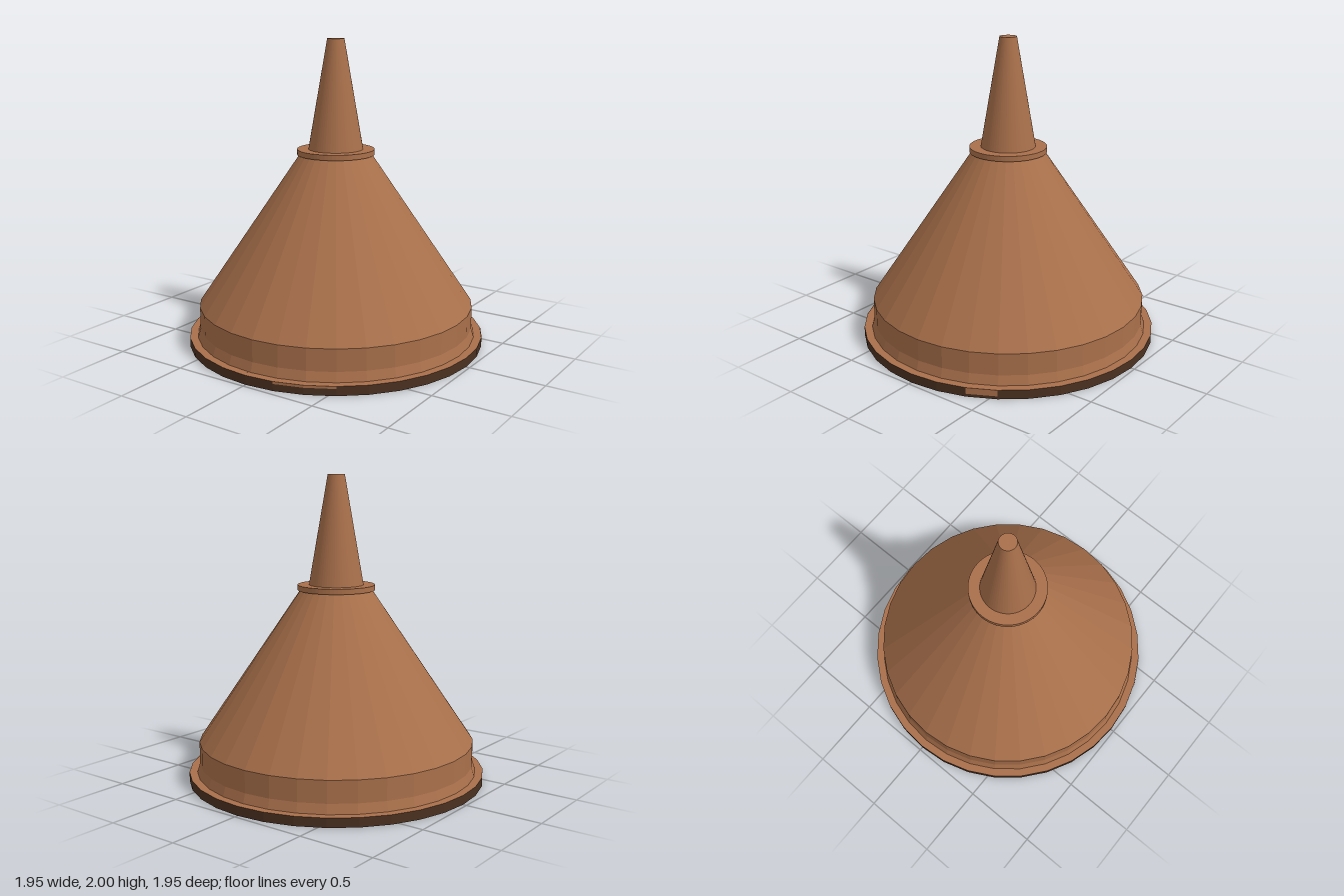
import * as THREE from 'three';

const BODY_SIDES = 32;
const SPOUT_SIDES = 64;

export function createModel() {
  const copper = new THREE.MeshStandardMaterial({ color: 0xa9704b, side: THREE.DoubleSide, flatShading: true });
  copper.name = 'copper';
  const tarnish = new THREE.MeshStandardMaterial({ color: 0x4a3020, side: THREE.DoubleSide, flatShading: true });
  tarnish.name = 'dark tarnish';

  const funnel = new THREE.Group();
  funnel.name = 'funnel';

  // Revolves a profile of [radius, height] points, listed so that faces point outward
  function turn(name, profile, sides, material, start = 0, length = Math.PI * 2) {
    const points = profile.map(([r, y]) => new THREE.Vector2(r, y));
    const mesh = new THREE.Mesh(new THREE.LatheGeometry(points, sides, start, length), material);
    mesh.name = name;
    funnel.add(mesh);
  }

  // Bowl: flared foot, straight band and cone, with an inner wall
  turn('bowl', [[0.925, 0.06], [0.907, 0.12], [0.907, 0.262], [0.235, 1.255]], BODY_SIDES, copper);
  turn('bowlInside', [[0.2, 1.255], [0.855, 0.295], [0.87, 0.12], [0.92, 0.06]], BODY_SIDES, copper);

  // Rim: dark underside and outer edge, bright top and inner lip
  turn('rimEdge', [[0.935, 0], [0.977, 0], [0.977, 0.06]], BODY_SIDES, tarnish);
  turn('rimTop', [[0.977, 0.06], [0.92, 0.06]], BODY_SIDES, copper);
  turn('rimLip', [[0.935, 0.06], [0.935, 0]], BODY_SIDES, copper);

  // Worn patches on the rim edge: first facet, facet count, lowest height
  const facet = (Math.PI * 2) / BODY_SIDES;
  for (const [first, count, low] of [[1, 2, 0.045], [10, 1, 0.02]]) {
    turn('wornPatch', [[0.979, low], [0.979, 0.06]], count, copper, first * facet, count * facet);
  }

  // Collar between bowl and spout
  turn('collar', [[0.178, 1.255], [0.252, 1.255], [0.252, 1.29], [0.178, 1.29]], SPOUT_SIDES, copper);

  // Tapered spout with closed tip
  turn('spout', [[0.178, 1.255], [0.178, 1.29], [0.055, 2]], SPOUT_SIDES, copper);
  turn('spoutTip', [[0.055, 2], [0, 2]], SPOUT_SIDES, copper);

  return funnel;
}
